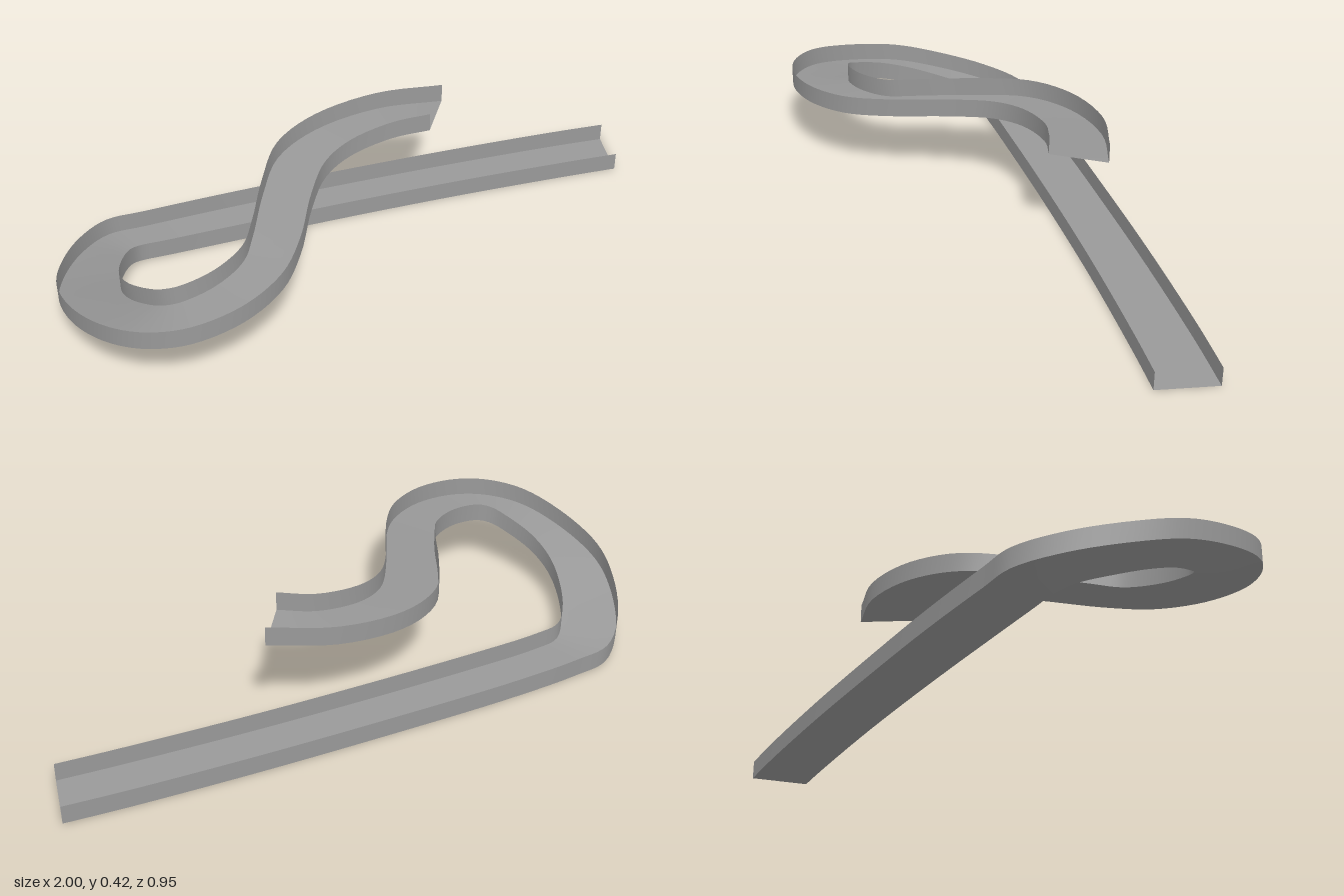
import * as THREE from 'three';

// Stations along the track: right edge x, z; left edge x, z; floor height y
const STATIONS = [
  [1, -0.474, 0.975, -0.285, 0], [0.8, -0.476, 0.8, -0.286, 0],
  [0.4, -0.468, 0.4, -0.28, 0], [0, -0.45, 0, -0.263, 0],
  [-0.4, -0.425, -0.38, -0.239, 0], [-0.68, -0.395, -0.63, -0.218, 0.003],
  [-0.8, -0.372, -0.714, -0.203, 0.011], [-0.9, -0.265, -0.755, -0.158, 0.035],
  [-0.975, -0.1, -0.797, -0.05, 0.07], [-1, 0.05, -0.81, 0.05, 0.104],
  [-0.965, 0.22, -0.79, 0.145, 0.14], [-0.88, 0.37, -0.735, 0.235, 0.178],
  [-0.78, 0.446, -0.7, 0.268, 0.197], [-0.66, 0.474, -0.655, 0.282, 0.211],
  [-0.5, 0.44, -0.55, 0.258, 0.228], [-0.365, 0.345, -0.45, 0.185, 0.243],
  [-0.28, 0.215, -0.4, 0.09, 0.258], [-0.2, 0.03, -0.33, -0.085, 0.276],
  [-0.12, -0.105, -0.24, -0.255, 0.293], [-0.02, -0.175, -0.09, -0.355, 0.31],
  [0.13, -0.205, 0.13, -0.39, 0.333], [0.25, -0.185, 0.342, -0.345, 0.355],
];
const WALL = 0.062;
const STEPS = 105;

// Smooth edge curve through one pair of columns
function edgeCurve(column) {
  return new THREE.CatmullRomCurve3(
    STATIONS.map((s) => new THREE.Vector3(s[column], s[4], s[column + 1])), false, 'centripetal');
}

// Smooth ribbon spanning two rows of points
function ribbon(name, a, b, material) {
  const positions = [];
  const index = [];
  a.forEach((p, i) => {
    positions.push(...p.toArray(), ...b[i].toArray());
    if (i > 0) {
      const k = 2 * i;
      index.push(k - 2, k - 1, k, k - 1, k + 1, k);
    }
  });
  const geometry = new THREE.BufferGeometry();
  geometry.setAttribute('position', new THREE.Float32BufferAttribute(positions, 3));
  geometry.setIndex(index);
  geometry.computeVertexNormals();
  const mesh = new THREE.Mesh(geometry, material);
  mesh.name = name;
  return mesh;
}

export function createModel() {
  const group = new THREE.Group();
  group.name = 'trackChannel';
  const material = new THREE.MeshStandardMaterial({ color: 0x999999, side: THREE.DoubleSide });

  const right = edgeCurve(0).getPoints(STEPS);
  const left = edgeCurve(2).getPoints(STEPS);
  // Keep the floor at or above the ground
  [...right, ...left].forEach((p) => { p.y = Math.max(0, p.y); });
  const raise = (points) => points.map((p) => p.clone().setY(p.y + WALL));

  // Floor and the two upright side walls
  group.add(ribbon('floor', right, left, material));
  group.add(ribbon('outerWall', raise(right), right, material));
  group.add(ribbon('innerWall', left, raise(left), material));
  return group;
}
